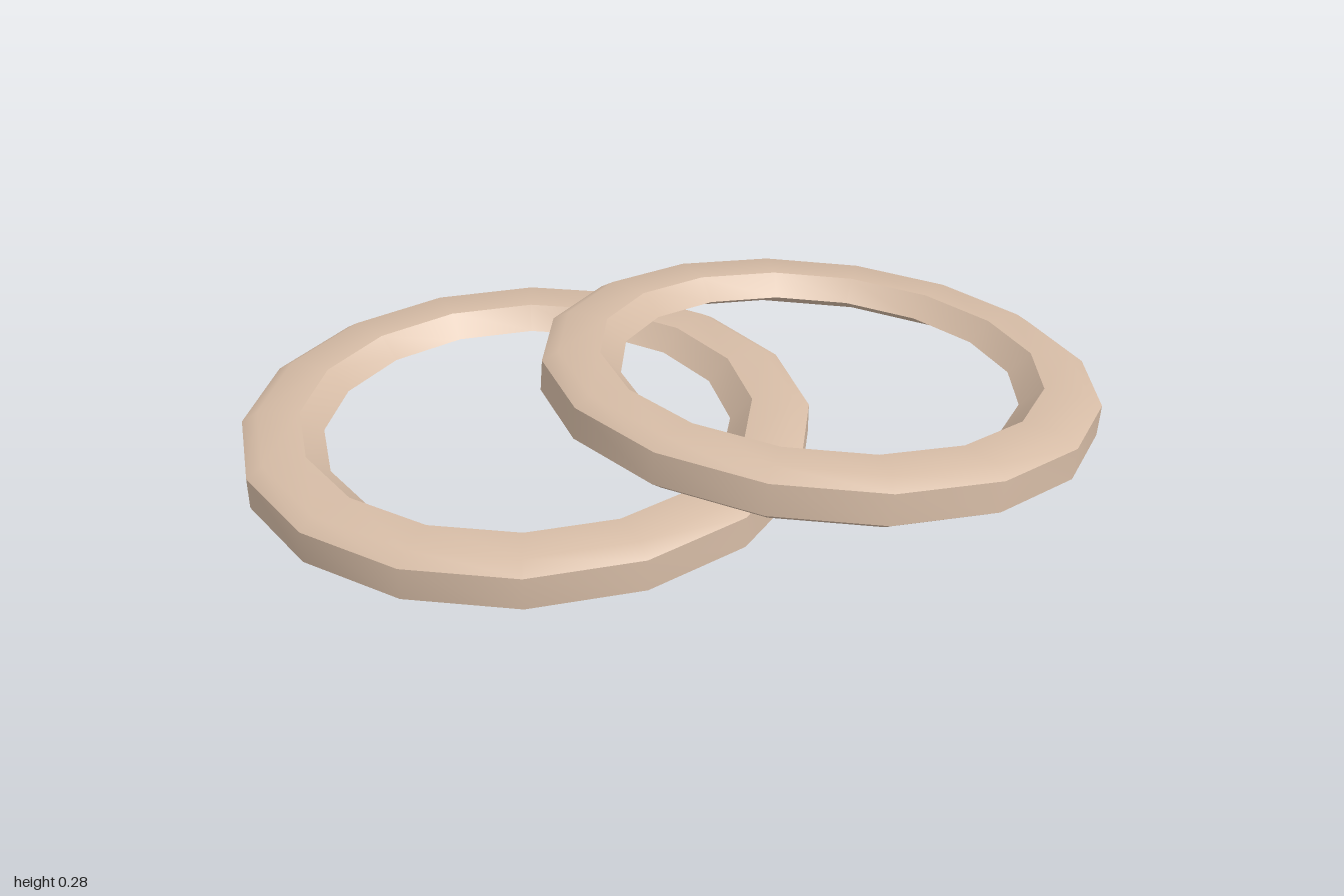
import * as THREE from 'three';
import { toCreasedNormals } from 'three/addons/utils/BufferGeometryUtils.js';

// Closed ring section as [radius, height], outer wall first
const SECTION = [
  [0.67, -0.065], [0.71, -0.04], [0.71, 0.04], [0.67, 0.065],
  [0.565, 0.062], [0.51, 0.008], [0.67, -0.065],
];

export function createModel() {
  const group = new THREE.Group();
  const tan = new THREE.MeshStandardMaterial({ color: 0xd6bca6 });
  tan.name = 'tan';

  // Sixteen-sided ring with bevelled outside and sloping inside
  const points = SECTION.map(([r, y]) => new THREE.Vector2(r, y));
  const geometry = toCreasedNormals(new THREE.LatheGeometry(points, 16), THREE.MathUtils.degToRad(40));

  const addRing = (name, position, yaw, tilt) => {
    const ring = new THREE.Mesh(geometry, tan);
    ring.name = name;
    ring.position.set(...position);
    // Tilt is applied after yaw
    ring.rotation.set(0, yaw, tilt, 'ZYX');
    group.add(ring);
  };

  // One ring lies flat, the other leans on it
  addRing('flatRing', [-0.29, 0.065, -0.235], 0, 0);
  addRing('leaningRing', [0.292, 0.145, 0.232], 0.095, -0.107);
  return group;
}
